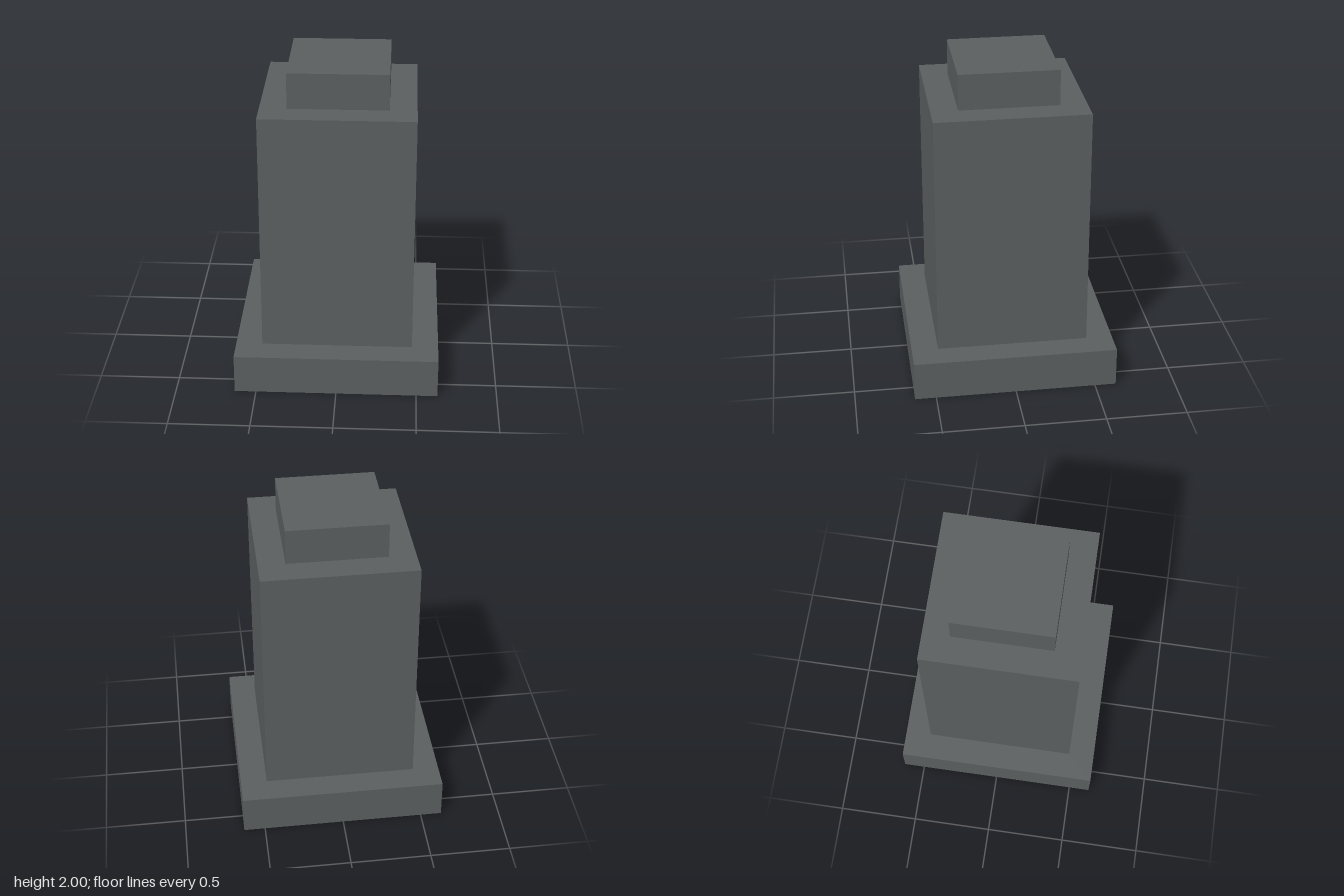
import * as THREE from 'three';

export function createModel() {
  const model = new THREE.Group();
  model.name = 'pedestal';

  const stone = new THREE.MeshStandardMaterial({ color: 0x5a5e5e });
  stone.name = 'dark grey stone';

  // Square block standing between two heights
  function addBlock(name, width, bottom, top) {
    const block = new THREE.Mesh(new THREE.BoxGeometry(width, top - bottom, width), stone);
    block.name = name;
    block.position.y = (bottom + top) / 2;
    model.add(block);
  }

  addBlock('base', 1.265, 0, 0.25);
  addBlock('shaft', 0.937, 0.25, 1.777);
  addBlock('cap', 0.608, 1.777, 2);

  return model;
}
